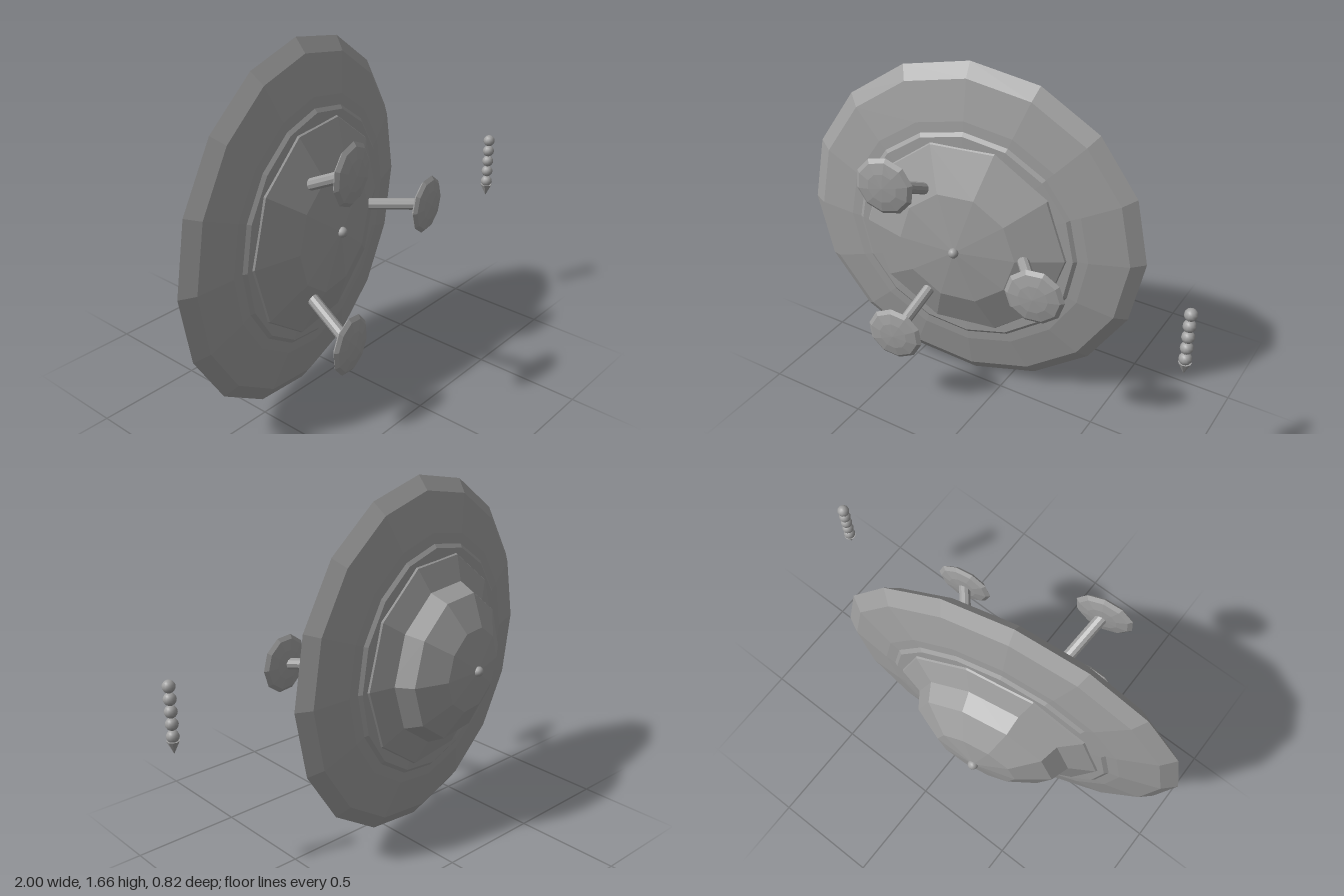
import * as THREE from 'three';

export function createModel() {
  const model = new THREE.Group();
  const grey = new THREE.MeshStandardMaterial({ color: 0xa0a0a0 });
  grey.name = 'grey';

  // Geometry with one normal per face
  const faceted = (geometry) => {
    const g = geometry.index ? geometry.toNonIndexed() : geometry;
    g.computeVertexNormals();
    return g;
  };
  const add = (parent, name, geometry) => {
    const mesh = new THREE.Mesh(geometry, grey);
    mesh.name = name;
    parent.add(mesh);
    return mesh;
  };
  // Flattened low-poly sphere around the local y axis
  const ellipsoid = (parent, name, radius, height, y, sides, rings) => {
    const g = new THREE.SphereGeometry(1, sides, rings).scale(radius, height, radius);
    const mesh = add(parent, name, faceted(g));
    mesh.position.y = y;
    return mesh;
  };

  // Saucer, standing on its rim with the dome towards the back
  const saucer = new THREE.Group();
  saucer.name = 'saucer';
  saucer.rotation.set(-Math.PI / 2, 0.165, 0, 'YXZ');
  saucer.position.set(-0.187, 0.83, -0.065);
  model.add(saucer);

  ellipsoid(saucer, 'disc', 0.828, 0.12, 0, 16, 8);
  ellipsoid(saucer, 'hull', 0.56, 0.222, 0, 10, 6);
  ellipsoid(saucer, 'dome', 0.385, 0.208, 0.13, 10, 6);

  // Raised step between disc and hull, on both faces
  const step = [[0.42, -0.106], [0.52, -0.102], [0.55, -0.08], [0.55, 0.08], [0.52, 0.102], [0.42, 0.106]]
    .map(([r, y]) => new THREE.Vector2(r, y));
  add(saucer, 'collar', faceted(new THREE.LatheGeometry(step, 16)));

  // Small beacons at both poles
  for (const [name, y] of [['domeBeacon', 0.337], ['bellyBeacon', -0.225]]) {
    const beacon = add(saucer, name, new THREE.SphereGeometry(0.024, 12, 8));
    beacon.position.y = y;
  }

  // Three splayed legs with round pads
  const top = new THREE.Vector3(0.27, -0.1, 0);
  const bottom = new THREE.Vector3(0.45, -0.4, 0);
  const along = bottom.clone().sub(top);
  for (let i = 0; i < 3; i++) {
    const leg = new THREE.Group();
    leg.name = 'landingLeg';
    leg.rotation.y = (i * Math.PI * 2) / 3;
    saucer.add(leg);
    const strut = add(leg, 'strut', faceted(new THREE.CylinderGeometry(0.027, 0.027, along.length(), 10)));
    strut.position.copy(top).add(bottom).multiplyScalar(0.5);
    strut.quaternion.setFromUnitVectors(new THREE.Vector3(0, 1, 0), along.clone().normalize());
    ellipsoid(leg, 'footPad', 0.135, 0.027, -0.403, 10, 6).position.x = 0.45;
  }

  // Separate string of beads ending in a point
  const string = new THREE.Group();
  string.name = 'beadString';
  string.position.set(0.972, 0, 0.166);
  model.add(string);
  for (let i = 0; i < 5; i++) {
    const bead = add(string, 'bead', new THREE.SphereGeometry(0.028, 12, 8));
    bead.position.y = 0.931 - i * 0.055;
  }
  const tip = add(string, 'beadTip', faceted(new THREE.ConeGeometry(0.028, 0.06, 10)));
  tip.rotation.x = Math.PI;
  tip.position.y = 0.662;

  return model;
}
